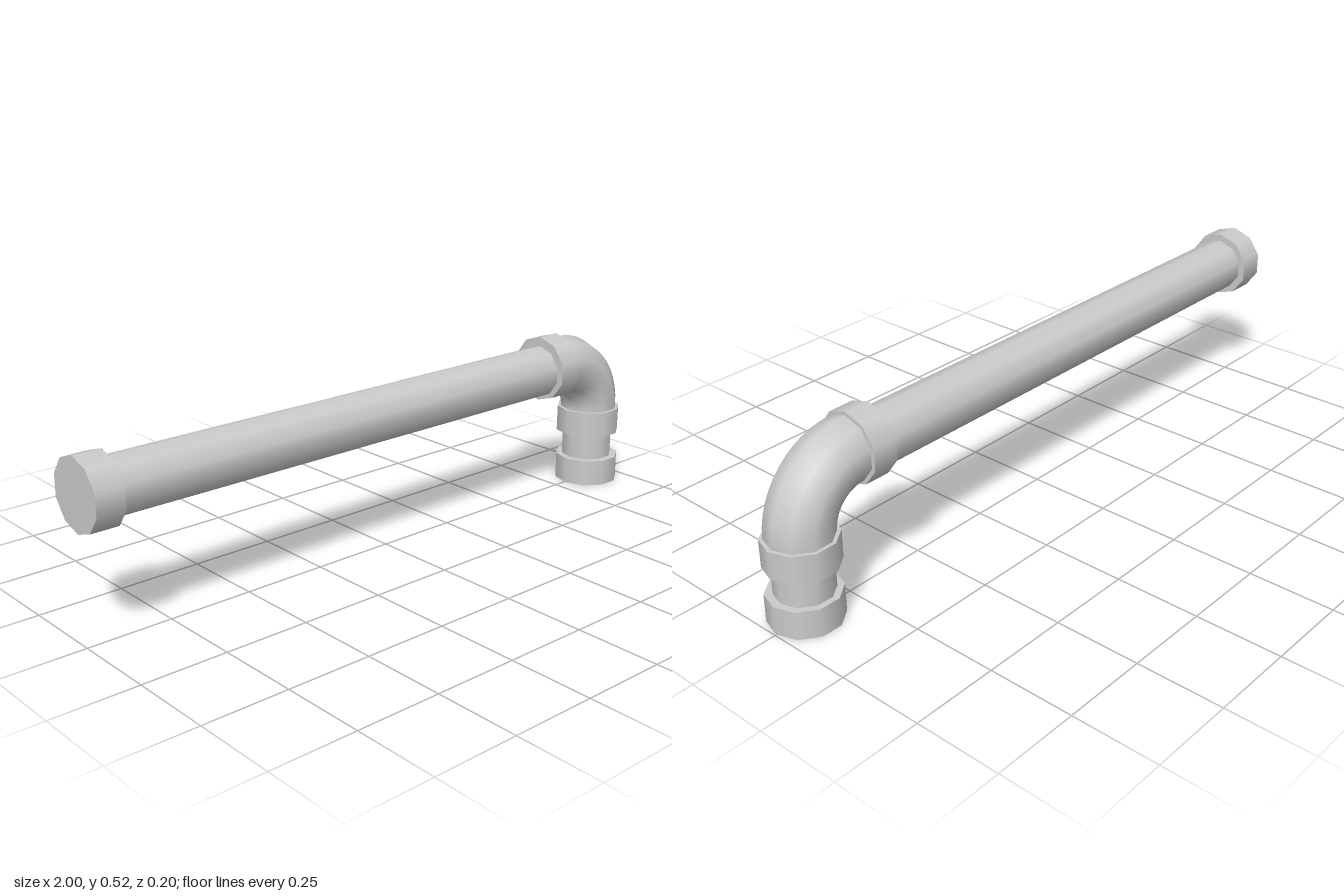
import * as THREE from 'three';

const SIDES = 10;
const AXIS_Y = 0.41;   // height of the long pipe
const LEG_X = 0.894;   // x of the short vertical leg

export function createModel() {
  const group = new THREE.Group();
  const material = new THREE.MeshStandardMaterial({ color: 0xcccccc });

  const add = (name, geometry, x, y, z = 0) => {
    const mesh = new THREE.Mesh(geometry, material);
    mesh.name = name;
    mesh.position.set(x, y, z);
    group.add(mesh);
  };

  // Ten-sided tube section with a corner in the plane of the bend
  const section = (radius, length) =>
    new THREE.CylinderGeometry(radius, radius, length, SIDES, 1, false, Math.PI / 2);
  const horizontal = (name, radius, x0, x1, y) =>
    add(name, section(radius, x1 - x0).rotateZ(Math.PI / 2), (x0 + x1) / 2, y);
  const vertical = (name, radius, y0, y1, z = 0) =>
    add(name, section(radius, y1 - y0), LEG_X, (y0 + y1) / 2, z);

  // Long horizontal run with its end collar
  horizontal('endCollar', 0.102, -1, -0.918, AXIS_Y);
  horizontal('longPipe', 0.08, -0.95, 0.69, AXIS_Y);

  // Elbow: quarter bend with a collar at each mouth
  const bend = 0.171;
  const elbow = new THREE.TorusGeometry(bend, 0.0915, SIDES, 12, Math.PI / 2);
  add('elbowBend', elbow, LEG_X - bend, 0.247);
  horizontal('elbowSideCollar', 0.102, 0.646, 0.722, 0.417);
  vertical('elbowLowerCollar', 0.102, 0.165, 0.247);

  // Short vertical leg and foot collar
  vertical('shortPipe', 0.081, 0.04, 0.2);
  vertical('footCollar', 0.102, 0, 0.083, 0.003);

  return group;
}
